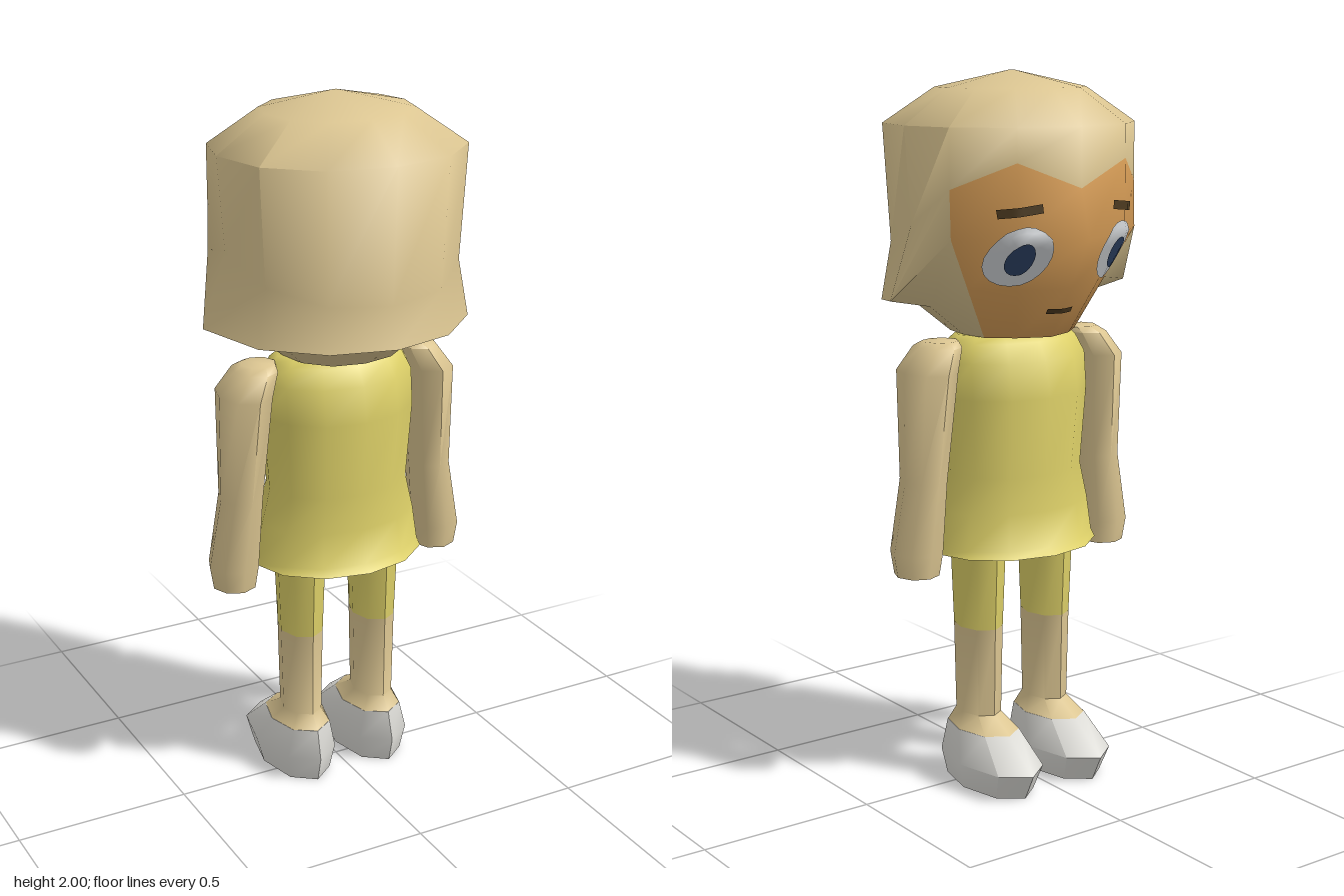
import * as THREE from 'three';
import { toCreasedNormals } from 'three/addons/utils/BufferGeometryUtils.js';

const material = (name, color, side = THREE.FrontSide) =>
  Object.assign(new THREE.MeshStandardMaterial({ color, side }), { name });

// Ring of points running clockwise as seen from above, starting at -z
function ring(y, cx, cz, rx, rz, n) {
  return Array.from({ length: n }, (_, j) => {
    const a = (j / n) * Math.PI * 2;
    return [cx + Math.sin(a) * rx, y, cz - Math.cos(a) * rz];
  });
}

// Mirror a half outline (front to back along +x) into a closed ring
const mirrored = half => [...half, ...half.slice(1, -1).reverse().map(([x, y, z]) => [-x, y, z])];

// Skin through rings listed from top to bottom; pick(i, j) chooses a material slot
function loft(rings, crease = 1.0, pick = () => 0, slots = 1) {
  const n = rings[0].length;
  const pos = rings.flat();
  const tris = Array.from({ length: slots }, () => []);
  for (let i = 0; i < rings.length - 1; i++) {
    for (let j = 0; j < n; j++) {
      const k = (j + 1) % n;
      const a = i * n + j, b = i * n + k, c = a + n, d = b + n;
      tris[pick(i, j)].push(a, b, d, a, d, c);
    }
  }
  // End caps
  [0, rings.length - 1].forEach((r, end) => {
    const centre = pos.length;
    pos.push([0, 1, 2].map(q => rings[r].reduce((s, p) => s + p[q], 0) / n));
    for (let j = 0; j < n; j++) {
      const a = r * n + j, b = r * n + ((j + 1) % n);
      tris[0].push(centre, ...(end ? [a, b] : [b, a]));
    }
  });
  const g = new THREE.BufferGeometry();
  g.setAttribute('position', new THREE.Float32BufferAttribute(pos.flat(), 3));
  g.setIndex(tris.flat());
  if (slots > 1) {
    let start = 0;
    tris.forEach((t, m) => { g.addGroup(start, t.length, m); start += t.length; });
  }
  return toCreasedNormals(g, crease);
}

export function createModel() {
  const model = new THREE.Group();
  const tan = material('tan', 0xdcc692);
  const orange = material('face orange', 0xdfa35a);
  const yellow = material('dress yellow', 0xddd068);
  const white = material('shoe white', 0xdcdbd6);
  const eyeWhite = material('eye white', 0xd6d9dc, THREE.DoubleSide);
  const navy = material('iris navy', 0x2f4468, THREE.DoubleSide);
  const brown = material('brow brown', 0x4c3a20, THREE.DoubleSide);

  const add = (name, geometry, mat, parent = model) => {
    const mesh = new THREE.Mesh(geometry, mat);
    mesh.name = name;
    parent.add(mesh);
    return mesh;
  };

  // Head: hair cap, zigzag fringe, flared hair edge and chin in one skin
  const outline = [[0, -.31], [.18, -.27], [.31, -.15], [.35, 0], [.31, .17], [.18, .29], [0, .33]];
  const scaled = (s, y) => outline.map(([x, z]) => [x * s, y, z * s]);
  const fringeY = [1.70, 1.77, 1.70, 1.60, 1.54, 1.50, 1.49];
  const fringe = outline.map(([x, z], j) => {
    const s = j < 3 ? 1 : .945;
    return [x * s, fringeY[j], z * s];
  });
  const edge = [[0, 1.57, -.345], [.18, 1.57, -.27], [.31, 1.57, -.155], [.40, 1.40, 0],
    [.32, 1.38, .17], [.18, 1.38, .30], [0, 1.38, .345]];
  const chin = [[0, 1.29, -.18], [.09, 1.29, -.1425], [.155, 1.29, -.085], [.165, 1.29, 0],
    [.15, 1.29, .085], [.09, 1.29, .15], [0, 1.29, .17]];
  const jaw = edge.map((p, j) => (j < 3
    ? p.map((v, q) => (v + chin[j][q]) / 2)
    : [outline[j][0] * .78, 1.375, outline[j][1] * .78]));
  const headRings = [scaled(.02, 2), scaled(.6, 1.955), scaled(1, 1.86), fringe, edge, jaw, chin];
  const isFace = (i, j) => (i >= 3 && (j < 2 || j > 9) ? 1 : 0);
  const head = add('head', loft(headRings.map(mirrored), 1.1, isFace, 2), [tan, orange]);
  head.updateMatrixWorld();

  // Painted details: flat shapes pressed onto the face
  const ray = new THREE.Raycaster();
  const forward = new THREE.Vector3(0, 0, 1);
  function decal(name, geometry, mat, x, y, lift) {
    geometry.translate(x, y, 0);
    const p = geometry.attributes.position;
    for (let i = 0; i < p.count; i++) {
      ray.set(new THREE.Vector3(p.getX(i), p.getY(i), -1), forward);
      const hit = ray.intersectObject(head)[0];
      if (!hit) continue;
      hit.point.addScaledVector(hit.face.normal, lift);
      p.setXYZ(i, hit.point.x, hit.point.y, hit.point.z);
    }
    geometry.computeVertexNormals();
    add(name, geometry, mat);
  }
  const disc = (rx, ry) => new THREE.RingGeometry(0.001, 1, 20, 5).rotateY(Math.PI).scale(rx, ry, 1);
  const strip = (w, h, tilt) => new THREE.PlaneGeometry(w, h, 12, 1).rotateZ(tilt).rotateY(Math.PI);
  for (const s of [1, -1]) {
    const side = s > 0 ? 'left' : 'right';
    decal(side + 'Eye', disc(.076, .08), eyeWhite, s * .155, 1.525, .005);
    decal(side + 'Iris', disc(.032, .044), navy, s * .155, 1.522, .009);
    decal(side + 'Brow', strip(.11, .024, s * .12), brown, s * .165, 1.645, .006);
  }
  decal('mouth', strip(.08, .014, 0), brown, 0, 1.37, .006);

  // Dress with a flared hem
  const dress = [[1.29, .18, .10], [1.27, .2, .13], [1.22, .225, .16], [1.12, .225, .18], [.9, .21, .16],
    [.8, .235, .17], [.7, .25, .18], [.68, .255, .205]];
  add('dress', loft(dress.map(([y, rx, rz]) => ring(y, 0, 0, rx, rz, 12))), yellow);

  // Arms, legs and shoes: rows are y, centre x, centre z, radius x, radius z
  const arm = [[1.28, .24, 0, .05, .05], [1.265, .25, 0, .06, .08], [1.2, .285, 0, .073, .105],
    [.9, .30, 0, .06, .076], [.7, .325, 0, .073, .076], [.635, .325, 0, .062, .066]];
  const leggings = [[.72, .118, 0, .07, .095], [.455, .118, 0, .061, .083]];
  const shin = [[.455, .118, 0, .061, .083], [.2, .118, 0, .056, .078], [.16, .118, -.022, .083, .13]];
  const shoe = [[.16, .118, -.022, .084, .131], [.075, .12, -.067, .11, .198], [0, .12, -.058, .092, .17]];
  for (const s of [1, -1]) {
    const side = s > 0 ? 'left' : 'right';
    const limb = (name, rows, mat) =>
      add(side + name, loft(rows.map(([y, cx, cz, rx, rz]) => ring(y, cx * s, cz, rx, rz, 8))), mat);
    limb('Arm', arm, tan);
    limb('Legging', leggings, yellow);
    limb('Shin', shin, tan);
    limb('Shoe', shoe, white);
  }
  return model;
}
